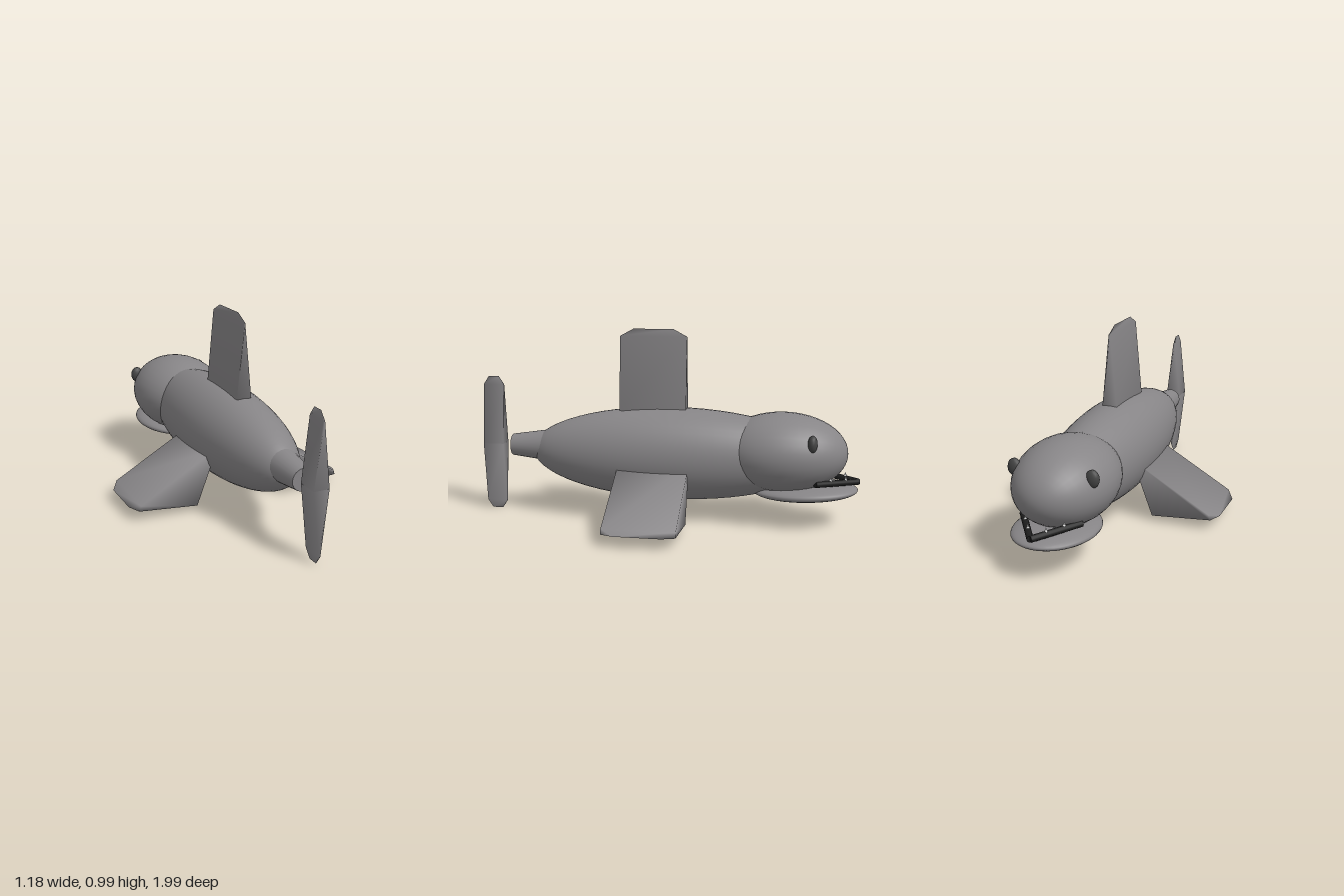
import * as THREE from 'three';

export function createModel() {
  const model = new THREE.Group();
  const mat = (name, color) => {
    const m = new THREE.MeshStandardMaterial({ color });
    m.name = name;
    return m;
  };
  const skin = mat('skin grey', 0x878587);
  const eyeMat = mat('eye dark grey', 0x444444);
  const gumMat = mat('gum black', 0x1e1e1e);
  const toothMat = mat('tooth white', 0xdddddd);

  const add = (name, geometry, material) => {
    const mesh = new THREE.Mesh(geometry, material);
    mesh.name = name;
    model.add(mesh);
    return mesh;
  };

  // Ellipsoid with its poles along z
  const ellipsoid = (name, pos, radii, material, detail = 32) => {
    const geo = new THREE.SphereGeometry(1, detail, detail * 0.75).rotateX(Math.PI / 2);
    const mesh = add(name, geo.scale(...radii), material);
    mesh.position.set(...pos);
    return mesh;
  };

  // Rod or cone between two points
  const rod = (name, a, b, r0, r1, sides, material) => {
    const p = new THREE.Vector3(...a), q = new THREE.Vector3(...b);
    const d = q.clone().sub(p);
    const mesh = add(name, new THREE.CylinderGeometry(r1, r0, d.length(), sides), material);
    mesh.position.copy(p).add(q).multiplyScalar(0.5);
    mesh.quaternion.setFromUnitVectors(new THREE.Vector3(0, 1, 0), d.normalize());
    return mesh;
  };

  // Wedge fin: base edge A-B in xy, sharp tip T with clipped corners, spanning z0..z1
  const fin = (name, A, B, T, z0, z1, clip, shoulder = 0.91) => {
    const toTip = P => P.map((v, i) => v + (T[i] - v) * shoulder);
    const a = toTip(A), b = toTip(B);
    const points = [
      [...A, z0], [...B, z0], [...B, z1], [...A, z1],
      [...a, z0], [...b, z0], [...b, z1], [...a, z1],
      [...T, z0 + clip], [...T, z1 - clip],
    ];
    const quads = [
      [0, 1, 2, 3], [3, 2, 6, 7], [1, 0, 4, 5], [2, 1, 5, 6], [0, 3, 7, 4],
      [6, 5, 8, 9], [4, 7, 9, 8],
    ];
    const index = quads.flatMap(([i, j, k, l]) => [i, j, k, i, k, l]);
    index.push(7, 6, 9, 5, 4, 8);
    const geo = new THREE.BufferGeometry();
    geo.setAttribute('position', new THREE.Float32BufferAttribute(points.flat(), 3));
    geo.setIndex(index);
    geo.computeVertexNormals();
    return add(name, geo, skin);
  };

  // Body, head and jaw
  ellipsoid('body', [0, 0.342, -0.028], [0.22, 0.242, 0.76], skin, 40);
  ellipsoid('head', [0, 0.37, -0.6], [0.245, 0.205, 0.33], skin);
  ellipsoid('lowerJaw', [0, 0.174, -0.718], [0.2, 0.045, 0.267], skin).rotation.x = 0.04;

  // Tail stock and the separate tail blade
  rod('tailStock', [0, 0.36, 0.66], [0, 0.357, 0.845], 0.082, 0.057, 24, skin);
  fin('upperTailFin', [-0.04, 0.365], [0.04, 0.365], [0, 0.725], 0.89, 1.0, 0.027, 0.88);
  fin('lowerTailFin', [0.04, 0.365], [-0.04, 0.365], [0, 0], 0.89, 1.0, 0.027, 0.88);

  // Dorsal and side fins
  fin('dorsalFin', [-0.04, 0.565], [0.04, 0.565], [0, 0.99], -0.1, 0.25, 0.07);
  fin('leftSideFin', [0.14, 0.32], [0.25, 0.03], [0.592, 0.06], -0.132, 0.232, 0.065);
  fin('rightSideFin', [-0.25, 0.03], [-0.14, 0.32], [-0.592, 0.06], -0.132, 0.232, 0.065);

  // Eyes, gum bars and teeth on both sides
  for (const s of [1, -1]) {
    const side = s > 0 ? 'left' : 'right';
    ellipsoid(side + 'Eye', [s * 0.196, 0.455, -0.752], [0.034, 0.044, 0.024], eyeMat, 16);
    const tip = [0, 0.228, -0.985], end = [s * 0.15, 0.24, -0.77];
    rod(side + 'Gum', tip, end, 0.016, 0.016, 12, gumMat);
    for (const t of [0.3, 0.65]) {
      const p = tip.map((v, i) => v + (end[i] - v) * t);
      rod(side + 'Tooth', p, [p[0], p[1] + 0.034, p[2]], 0.014, 0, 8, toothMat);
    }
  }
  return model;
}
